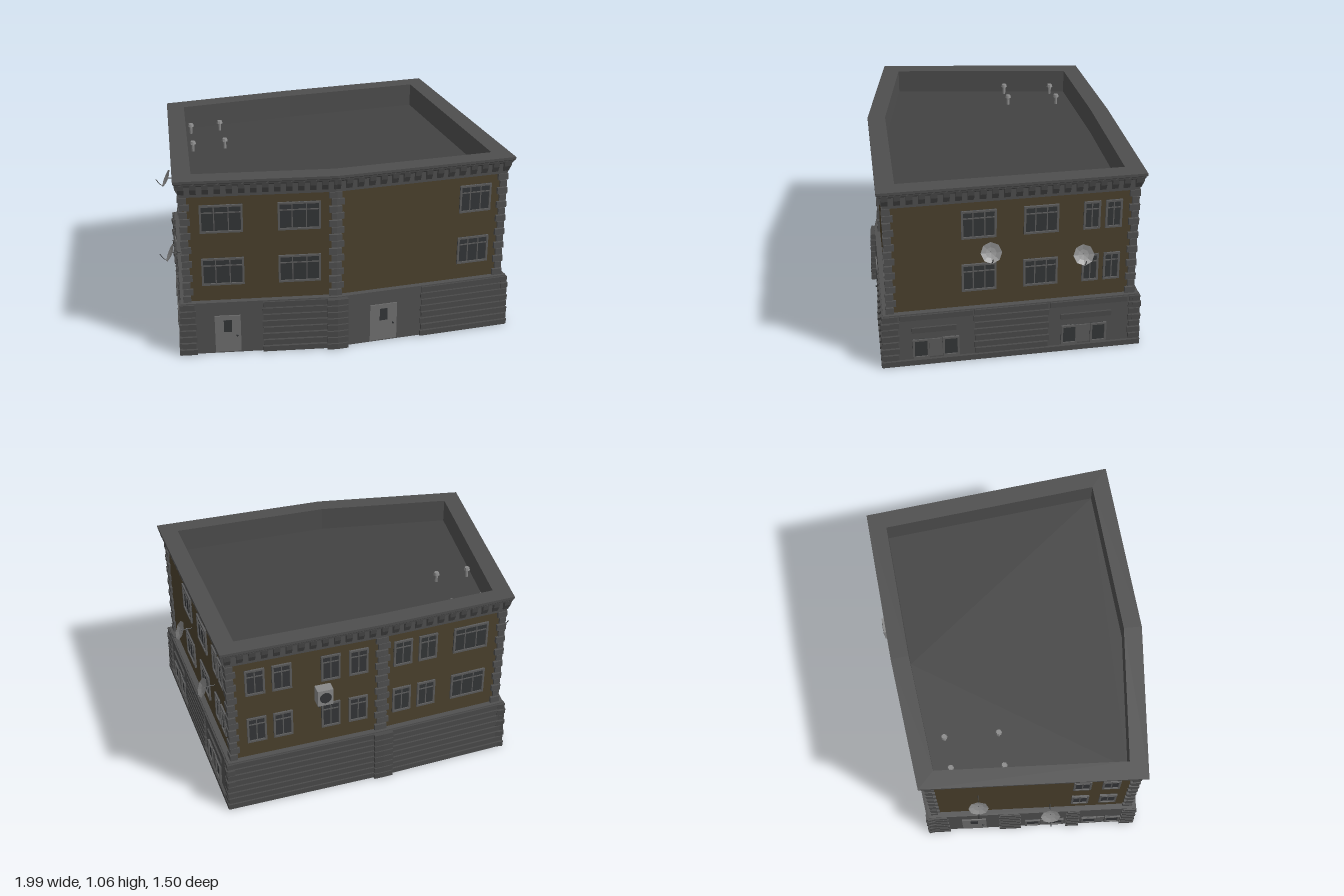
import * as THREE from 'three';

// Upper wall footprint [x, z]: front left, front bend, front right, back right, back bend, back left
const P = [[-0.93, 0.47], [-0.11, 0.645], [0.865, 0.69], [0.87, -0.665], [0, -0.69], [-0.73, -0.685]]
  .map(([x, z]) => new THREE.Vector2(x, z));
const N = P.length;
const mat = (color, side = THREE.FrontSide) =>
  new THREE.MeshStandardMaterial({ color, side, flatShading: true });
const M = {
  stone: mat(0x505050), block: mat(0x4a4a4a), brick: mat(0x4b412d), roof: mat(0x424242),
  rim: mat(0x4e4e4e), frame: mat(0x5c5c5c), glass: mat(0x343638), door: mat(0x707070),
  metal: mat(0x888888, THREE.DoubleSide),
};

const edgeDir = i => P[(i + 1) % N].clone().sub(P[i % N]).normalize();
const edgeNormal = i => { const d = edgeDir(i); return new THREE.Vector2(-d.y, d.x); };

// Mitred offset of one footprint corner
function corner(i, d) {
  const a = edgeNormal((i + N - 1) % N), b = edgeNormal(i % N);
  return P[i % N].clone().addScaledVector(a.clone().add(b), d / (1 + a.dot(b)));
}

function mesh(parent, name, geo, material, x = 0, y = 0, z = 0) {
  const m = new THREE.Mesh(geo, material);
  m.name = name;
  m.position.set(x, y, z);
  parent.add(m);
  return m;
}
const box = (parent, name, material, w, h, d, x, y, z) =>
  mesh(parent, name, new THREE.BoxGeometry(w, h, d), material, x, y, z);

// Sweep an [offset, height] profile around the footprint
function loft(parent, name, profile, material) {
  const pos = [];
  for (let k = 0; k < profile.length - 1; k++) {
    const [d0, y0] = profile[k], [d1, y1] = profile[k + 1];
    for (let i = 0; i < N; i++) {
      const a = corner(i, d0), b = corner(i + 1, d0), c = corner(i + 1, d1), e = corner(i, d1);
      pos.push(a.x, y0, a.y, b.x, y0, b.y, c.x, y1, c.y, a.x, y0, a.y, c.x, y1, c.y, e.x, y1, e.y);
    }
  }
  const g = new THREE.BufferGeometry();
  g.setAttribute('position', new THREE.Float32BufferAttribute(pos, 3));
  g.computeVertexNormals();
  return mesh(parent, name, g, material);
}

// Horizontal slab face with the footprint's outline
function slab(parent, name, d, y, material, down) {
  const pts = P.map((_, i) => corner(i, d)).map(p => new THREE.Vector2(p.x, down ? p.y : -p.y));
  const g = new THREE.ShapeGeometry(new THREE.Shape(pts));
  g.rotateX(down ? Math.PI / 2 : -Math.PI / 2);
  mesh(parent, name, g, material, 0, y, 0);
}

// Point on an edge from its world x (front, back) or z (sides)
function pointOn(i, c) {
  const a = P[i], b = P[(i + 1) % N], k = i === 2 || i === 5 ? 'y' : 'x';
  return a.clone().lerp(b, (c - a[k]) / (b[k] - a[k]));
}
// Group on a wall: local x along the wall, local z outward
function onWall(parent, name, i, p, y, out = 0) {
  const g = new THREE.Group(), n = edgeNormal(i);
  g.name = name;
  g.position.set(p.x + n.x * out, y, p.y + n.y * out);
  g.rotation.y = Math.atan2(n.x, n.y);
  parent.add(g);
  return g;
}

function addWindow(parent, i, c, y, w, h, panes, out = 0) {
  const g = onWall(parent, 'window', i, pointOn(i, c), y, out), t = 0.011;
  box(g, 'glass', M.glass, w, h, 0.006, 0, 0, 0);
  for (const s of [-1, 1]) {
    box(g, 'frameSide', M.frame, t, h, 0.022, s * (w - t) / 2, 0, 0);
    box(g, 'frameRail', M.frame, w, t, 0.022, 0, s * (h - t) / 2, 0);
  }
  for (let k = 1; k < panes; k++) box(g, 'mullion', M.frame, 0.006, h, 0.014, (k / panes - 0.5) * w, 0, 0);
  if (panes > 1) box(g, 'transom', M.frame, w, 0.006, 0.014, 0, h * 0.22, 0);
}

function addDoor(parent, i, c, w = 0.145) {
  const g = onWall(parent, 'door', i, pointOn(i, c), 0.122, 0.033);
  box(g, 'doorLeaf', M.door, w, 0.23, 0.012, 0, 0, 0);
  box(g, 'doorPane', M.glass, 0.045, 0.075, 0.016, 0, 0.05, 0);
  mesh(g, 'doorKnob', new THREE.SphereGeometry(0.007, 8, 6), M.glass, w * 0.36, -0.01, 0.01);
  // Leaf seen from the inside
  box(g, 'doorInside', M.door, w, 0.23, 0.01, 0, 0, -0.035);
}

// Stone wrapping a footprint corner
function cornerStone(parent, name, i, w0, w1, d, y0, y1, material) {
  const j = (i + N - 1) % N, d0 = edgeDir(j), d1 = edgeDir(i), c = corner(i, d);
  const a = P[i].clone().addScaledVector(d0, -w0), b = P[i].clone().addScaledVector(d1, w1);
  const a2 = a.clone().addScaledVector(edgeNormal(j), d), b2 = b.clone().addScaledVector(edgeNormal(i), d);
  const s = new THREE.Shape([a, a2, c, b2, b, P[i]].map(p => new THREE.Vector2(p.x, -p.y)));
  const g = new THREE.ExtrudeGeometry(s, { depth: y1 - y0, bevelEnabled: false });
  g.rotateX(-Math.PI / 2);
  mesh(parent, name, g, material, 0, y0, 0);
}

// Courses of stone between two coordinates on a wall
function courses(parent, i, c0, c1, from = 0, to = 8) {
  const a = pointOn(i, c0), b = pointOn(i, c1), mid = a.clone().add(b).multiplyScalar(0.5), len = a.distanceTo(b);
  for (let k = from; k < to; k++) {
    const d = 0.051 - k * 0.0015;
    const g = onWall(parent, 'stoneCourse', i, mid, k * 0.04 + 0.017);
    box(g, 'course', M.block, len - (k % 2) * 0.012, 0.032, d, 0, 0, d / 2);
  }
}

function addDish(parent, i, c, y) {
  const g = onWall(parent, 'satelliteDish', i, pointOn(i, c), y, 0.075);
  const bowl = new THREE.LatheGeometry(
    [[0.0001, -0.012], [0.03, -0.009], [0.058, 0]].map(p => new THREE.Vector2(...p)), 8);
  mesh(g, 'bowl', bowl, M.metal).rotation.x = 1.13;
  const rod = (name, pts) => mesh(g, name, new THREE.TubeGeometry(
    new THREE.CatmullRomCurve3(pts.map(p => new THREE.Vector3(...p))), 4, 0.0025, 5), M.glass);
  rod('bracket', [[0, 0, -0.08], [0, 0, -0.04], [0, 0, -0.01]]);
  rod('feedArm', [[0, -0.05, 0.02], [0, -0.035, 0.04], [0, -0.005, 0.06]]);
}

export function createModel() {
  const root = new THREE.Group();
  root.name = 'building';

  // Shells: open base, walls, cornice with parapet, roof and floor
  loft(root, 'base', [[0, 0.318], [0, 0], [0.036, 0], [0.032, 0.32], [0, 0.32]], M.stone);
  loft(root, 'walls', [[0, 0.318], [0, 0.97]], M.brick);
  loft(root, 'cornice', [[0, 0.955], [0.012, 0.955], [0.012, 1.015], [0.034, 1.03], [0.036, 1.04],
    [0.042, 1.045], [0.042, 1.06], [-0.06, 1.06], [-0.06, 0.92]], M.rim);
  slab(root, 'roof', -0.06, 0.92, M.roof, false);
  slab(root, 'floorUnderside', 0, 0.316, M.brick, true);

  // Corbels under the cornice
  const side = new THREE.Shape([[0, 0.97], [0.016, 0.972], [0.032, 1.005], [0.036, 1.034], [0, 1.034]]
    .map(p => new THREE.Vector2(...p)));
  const corbel = new THREE.ExtrudeGeometry(side, { depth: 0.034, bevelEnabled: false });
  corbel.translate(0, 0, -0.017).rotateY(-Math.PI / 2);
  for (let i = 0; i < N; i++) {
    const len = P[i].distanceTo(P[(i + 1) % N]), n = Math.round(len / 0.065);
    for (let k = 0; k <= n; k++)
      mesh(onWall(root, 'corbel', i, P[i].clone().lerp(P[(i + 1) % N], k / n), 0), 'corbelBlock', corbel, M.block);
  }

  // Quoins at every corner and bend, pilasters below the two bends
  for (let i = 0; i < N; i++) {
    const n = 15, h = 0.64 / n;
    for (let k = 0; k < n; k++) {
      const w = k % 2 ? [0.028, 0.042] : [0.042, 0.028];
      cornerStone(root, 'quoin', i, ...w, k % 2 ? 0.012 : 0.016, 0.32 + k * h, 0.32 + (k + 0.86) * h, M.stone);
    }
  }
  for (const i of [1, 4])
    for (let k = 0; k < 8; k++)
      cornerStone(root, 'pilasterStone', i, 0.055, 0.055, 0.066 - k * 0.001, k * 0.04, k * 0.04 + 0.034, M.block);

  // Rusticated stone courses
  const runs = [[0, -0.97, -0.88], [0, -0.52, -0.16], [1, 0.38, 0.913], [2, 0.738, 0.64], [2, 0.23, -0.19],
    [2, -0.64, -0.713], [3, 0.918, 0], [4, 0, -0.778], [5, -0.733, -0.6], [5, -0.3, -0.17], [5, 0.1, 0.18], [5, 0.43, 0.515]];
  for (const r of runs) courses(root, ...r);
  for (const [a, b] of [[0.64, 0.23], [-0.19, -0.64]]) {
    courses(root, 2, a, b, 0, 1);
    courses(root, 2, a, b, 7, 8);
    courses(root, 2, a - 0.06, b + 0.09, 5, 6);
  }

  // Doors
  addDoor(root, 0, -0.71);
  addDoor(root, 1, 0.16, 0.16);
  addDoor(root, 5, -0.45);

  // Basement window pairs with a panel between
  for (const [i, c] of [[2, 0.44], [2, -0.39], [5, -0.03], [5, 0.31]]) {
    const s = i === 2 ? 0.083 : 0.07;
    for (const k of [-1, 1]) addWindow(root, i, c + k * s, 0.1, 0.092, 0.12, 1, 0.036);
    box(onWall(root, 'basementPanel', i, pointOn(i, c), 0.1, 0.036), 'panel', M.frame, 2 * s - 0.095, 0.11, 0.01, 0, 0, 0);
  }

  // Two storeys of windows: [wall, coordinate, width, panes]
  const windows = [
    [0, -0.725, 0.235, 3], [0, -0.31, 0.235, 3], [1, 0.695, 0.185, 3],
    [2, 0.195, 0.19, 3], [2, -0.143, 0.19, 3], [2, -0.42, 0.092, 2], [2, -0.54, 0.092, 2],
    [3, 0.725, 0.11, 2], [3, 0.575, 0.11, 2], [3, 0.3, 0.11, 2], [3, 0.14, 0.11, 2],
    [4, -0.12, 0.11, 2], [4, -0.27, 0.11, 2], [4, -0.53, 0.21, 3],
    [5, 0.17, 0.1, 2], [5, 0.33, 0.1, 2],
  ];
  for (const [i, c, w, panes] of windows)
    for (const y of [0.5, 0.82]) addWindow(root, i, c, y, w, 0.165, panes);

  // Satellite dishes
  for (const d of [[2, 0.14, 0.68], [2, -0.365, 0.62], [5, -0.41, 0.69], [5, 0, 0.39]]) addDish(root, ...d);

  // Air conditioner on the back wall
  const ac = onWall(root, 'airConditioner', 3, pointOn(3, 0.35), 0.67);
  box(ac, 'case', M.metal, 0.09, 0.1, 0.06, 0, 0, 0.04);
  mesh(ac, 'fan', new THREE.CylinderGeometry(0.034, 0.034, 0.006, 12), M.glass, 0, 0, 0.07).rotation.x = Math.PI / 2;
  for (const s of [-1, 1]) box(ac, 'bracket', M.glass, 0.006, 0.006, 0.07, s * 0.035, -0.055, 0.035);

  // Roof vents
  for (const [x, z] of [[-0.66, -0.53], [-0.48, -0.53], [-0.71, -0.24], [-0.52, -0.23]]) {
    mesh(root, 'ventPipe', new THREE.CylinderGeometry(0.009, 0.009, 0.05, 8), M.metal, x, 0.945, z);
    mesh(root, 'ventCap', new THREE.CylinderGeometry(0.014, 0.019, 0.016, 8), M.metal, x, 0.975, z);
  }
  return root;
}
